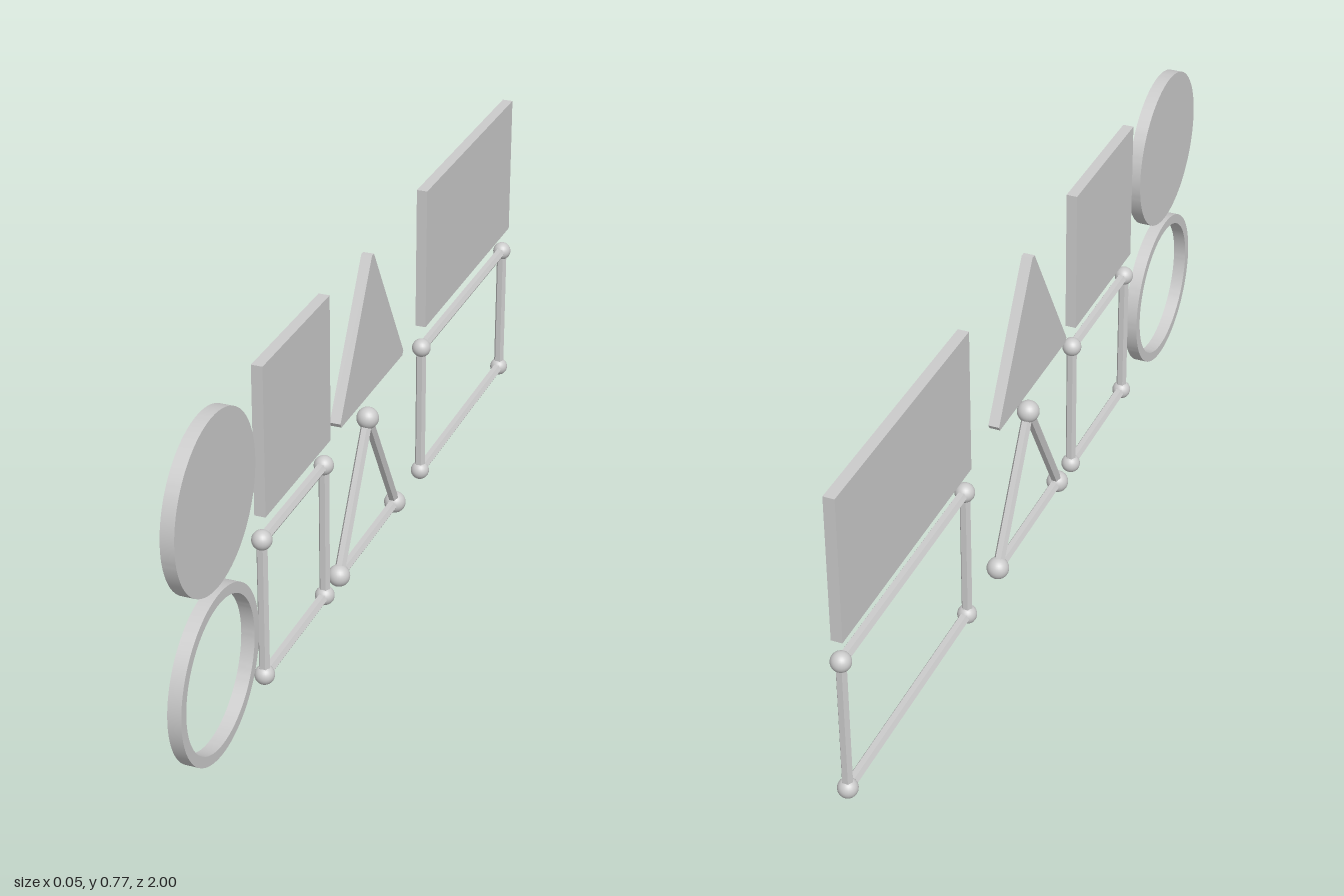
import * as THREE from 'three';
import { toCreasedNormals } from 'three/addons/utils/BufferGeometryUtils.js';

const material = new THREE.MeshStandardMaterial({ color: 0xcccccc });
const flatMaterial = new THREE.MeshStandardMaterial({ color: 0xcccccc, flatShading: true });

// Points are [z, y] pairs in the plane x = 0.
const toShape = (points) => new THREE.Shape(points.map(([z, y]) => new THREE.Vector2(z, y)));

// Plate lying in the z-y plane, centred on x = 0
function plate(name, shape, thickness) {
  const raw = new THREE.ExtrudeGeometry(shape, { depth: thickness, bevelEnabled: false, curveSegments: 64 });
  raw.translate(0, 0, -thickness / 2);
  raw.rotateY(-Math.PI / 2);
  const mesh = new THREE.Mesh(toCreasedNormals(raw, 0.5), material);
  mesh.name = name;
  return mesh;
}

// Hexagonal rods joined by balls at the corners
function frame(name, corners, ballRadius) {
  const group = new THREE.Group();
  group.name = name;
  const points = corners.map(([z, y]) => new THREE.Vector3(0, y, z));
  const xAxis = new THREE.Vector3(1, 0, 0);
  points.forEach((a, i) => {
    const b = points[(i + 1) % points.length];
    const ball = new THREE.Mesh(new THREE.SphereGeometry(ballRadius, 24, 16), material);
    ball.name = 'cornerBall';
    ball.position.copy(a);

    // Rod corners point along x, its flats face in and out of the frame
    const rodGeometry = new THREE.CylinderGeometry(0.0125, 0.0125, a.distanceTo(b), 6);
    rodGeometry.rotateY(Math.PI / 2);
    const rod = new THREE.Mesh(rodGeometry, flatMaterial);
    rod.name = 'rod';
    const along = b.clone().sub(a).normalize();
    const basis = new THREE.Matrix4().makeBasis(xAxis, along, xAxis.clone().cross(along));
    rod.quaternion.setFromRotationMatrix(basis);
    rod.position.copy(a).add(b).multiplyScalar(0.5);
    group.add(ball, rod);
  });
  return group;
}

const rectangle = (z0, z1, y0, y1) => [[z0, y0], [z1, y0], [z1, y1], [z0, y1]];

// Polygon with each corner cut off by a small distance
function cutCorners(points, cut) {
  const n = points.length;
  return points.flatMap((p, i) => [points[(i + n - 1) % n], points[(i + 1) % n]].map((q) => {
    const t = cut / Math.hypot(q[0] - p[0], q[1] - p[1]);
    return [p[0] + (q[0] - p[0]) * t, p[1] + (q[1] - p[1]) * t];
  }));
}

export function createModel() {
  const model = new THREE.Group();
  model.name = 'shapeSet';

  // Round pair
  const disc = new THREE.Shape().absarc(0.811, 0.586, 0.189, 0, Math.PI * 2);
  const ring = new THREE.Shape().absarc(0.811, 0.19, 0.189, 0, Math.PI * 2);
  ring.holes.push(new THREE.Path().absarc(0.811, 0.19, 0.166, 0, Math.PI * 2, true));
  model.add(plate('disc', disc, 0.03), plate('ring', ring, 0.03));

  // Square pair
  model.add(
    plate('squarePlate', toShape(rectangle(0.219, 0.572, 0.422, 0.765)), 0.025),
    frame('squareFrame', rectangle(0.228, 0.565, 0.034, 0.363), 0.022),
  );

  // Triangle pair
  const triangle = [[-0.232, 0.421], [0.168, 0.421], [-0.032, 0.762]];
  model.add(
    plate('trianglePlate', toShape(cutCorners(triangle, 0.012)), 0.025),
    frame('triangleFrame', [[-0.211, 0.037], [0.144, 0.037], [-0.033, 0.349]], 0.0255),
  );

  // Rectangle pair
  model.add(
    plate('rectanglePlate', toShape(rectangle(-0.99, -0.374, 0.422, 0.765)), 0.025),
    frame('rectangleFrame', rectangle(-0.977, -0.382, 0.034, 0.363), 0.022),
  );

  return model;
}
